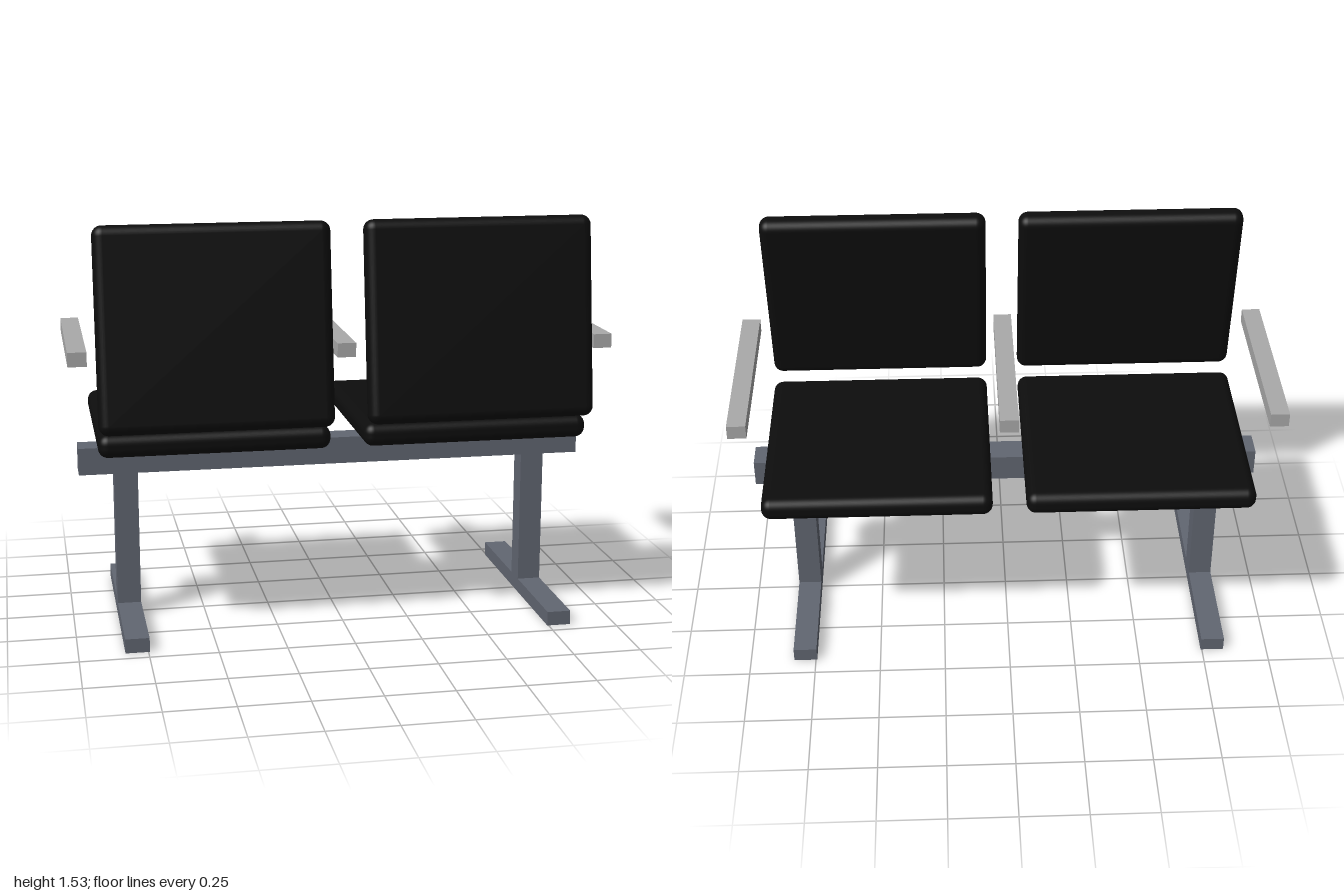
import * as THREE from 'three';
import { RoundedBoxGeometry } from 'three/addons/geometries/RoundedBoxGeometry.js';

export function createModel() {
  const model = new THREE.Group();
  model.name = 'twoSeatBench';

  const material = (name, color) => {
    const m = new THREE.MeshStandardMaterial({ color });
    m.name = name;
    return m;
  };
  const upholstery = material('black upholstery', 0x0d0d0d);
  const steel = material('blue grey steel', 0x616671);
  const armGrey = material('light grey armrest', 0xa9a9a9);

  const add = (name, geometry, mat, x, y, z) => {
    const mesh = new THREE.Mesh(geometry, mat);
    mesh.name = name;
    mesh.position.set(x, y, z);
    model.add(mesh);
    return mesh;
  };

  // Cross beam carrying the seats
  add('beam', new THREE.BoxGeometry(1.928, 0.102, 0.104), steel, 0, 0.616, 0.01);

  for (const [side, s] of [['left', 1], ['right', -1]]) {
    // T-shaped leg: post on a long floor foot
    add(side + 'Post', new THREE.BoxGeometry(0.088, 0.512, 0.088), steel, s * 0.789, 0.309, 0.01);
    add(side + 'Foot', new THREE.BoxGeometry(0.088, 0.053, 0.878), steel, s * 0.789, 0.0265, 0.009);

    // Seat cushion and tilted back cushion
    add(side + 'Seat', new RoundedBoxGeometry(0.841, 0.085, 0.806, 5, 0.036), upholstery,
      s * 0.482, 0.74, -0.043);
    const back = add(side + 'Back', new RoundedBoxGeometry(0.841, 0.735, 0.085, 5, 0.036), upholstery,
      s * 0.482, 1.1625, 0.3615);
    back.rotation.x = -THREE.MathUtils.degToRad(8);
  }

  // Armrests: one at each end and one between the seats
  for (const [name, x] of [['leftArmrest', 0.966], ['middleArmrest', 0], ['rightArmrest', -0.966]]) {
    add(name, new THREE.BoxGeometry(0.068, 0.052, 0.703), armGrey, x, 1.057, -0.027);
  }

  return model;
}
